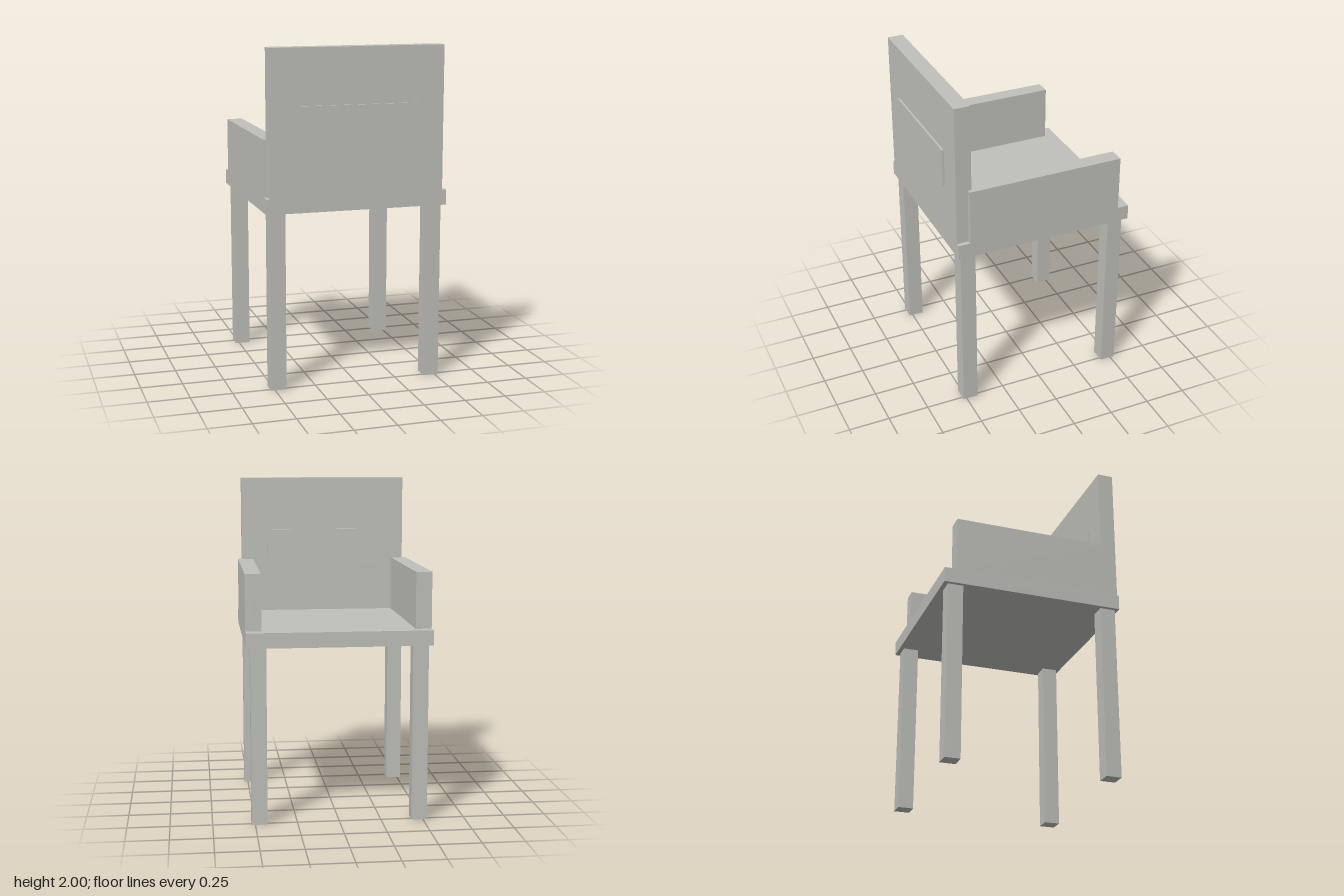
import * as THREE from 'three';

export function createModel() {
  const group = new THREE.Group();
  group.name = 'armchair';
  const paint = new THREE.MeshStandardMaterial({ color: 0xc0c0bc });
  paint.name = 'warm grey';

  // Box given by its extents along each axis
  const addBox = (name, [x0, x1], [y0, y1], [z0, z1]) => {
    const mesh = new THREE.Mesh(new THREE.BoxGeometry(x1 - x0, y1 - y0, z1 - z0), paint);
    mesh.position.set((x0 + x1) / 2, (y0 + y1) / 2, (z0 + z1) / 2);
    mesh.name = name;
    group.add(mesh);
  };

  const seatBottom = 1.055, seatTop = 1.145;

  // Seat slab, upright backrest and the panel that passes through it
  addBox('seat', [-0.547, 0.547], [seatBottom, seatTop], [-0.553, 0.541]);
  addBox('backrest', [-0.524, 0.521], [seatTop, 2], [0.446, 0.541]);
  addBox('backrestPanel', [-0.358, 0.355], [1.435, 1.67], [0.433, 0.553]);

  // Solid side arms
  addBox('leftArm', [0.452, 0.547], [seatTop, 1.48], [-0.483, 0.468]);
  addBox('rightArm', [-0.547, -0.452], [seatTop, 1.48], [-0.483, 0.468]);

  // Four square legs
  for (const [side, x] of [['Left', [0.428, 0.521]], ['Right', [-0.524, -0.431]]]) {
    for (const [end, z] of [['front', [0.428, 0.521]], ['back', [-0.526, -0.433]]]) {
      addBox(`${end}${side}Leg`, x, [0, seatBottom], z);
    }
  }

  return group;
}
